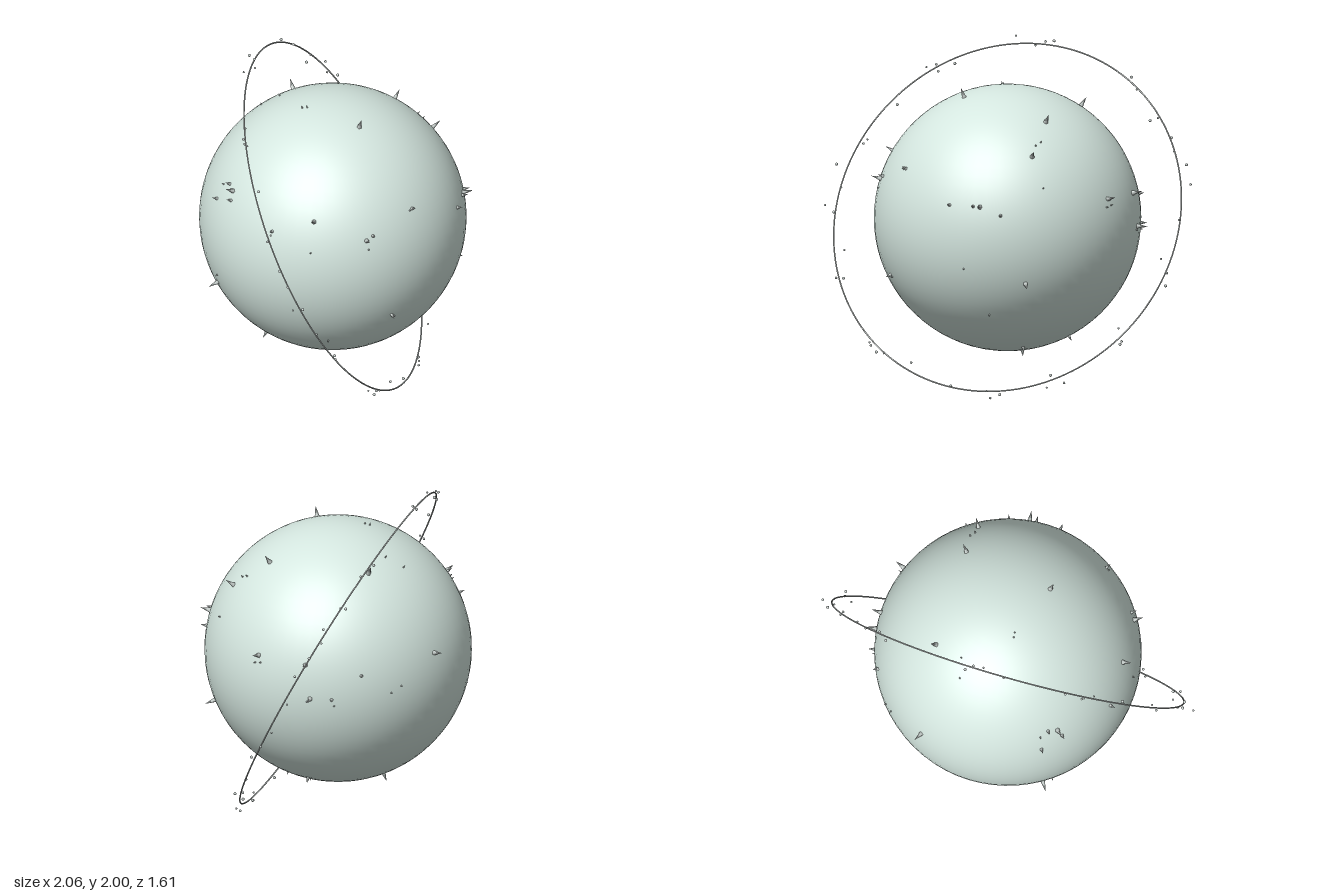
import * as THREE from 'three';

const CENTRE = new THREE.Vector3(0.018, 0.998, 0.012);
const GLOBE_R = 0.786, RING_R = 1.076;

// Outward directions of the surface spikes, grouped by size
const LARGE = [
  [-0.08, 0.74, 0.27], [0.47, 0.655, 0.10], [0.57, 0.47, 0.30], [-0.62, 0.365, 0.365],
  [-0.44, 0.25, 0.63], [0.47, 0.19, 0.63], [0.64, 0.18, -0.41], [0.64, -0.02, -0.45],
  [0.64, -0.285, 0.41], [-0.11, -0.73, -0.27], [-0.48, -0.84, -0.23], [-0.83, -0.356, -0.43],
  [-0.08, 0.22, -0.97], [0.2, 0.81, -0.55], [0.77, 0.195, -0.13], [-0.83, 0.48, -0.28],
];
const MEDIUM = [
  [0.57, 0.14, 0.55], [-0.39, 0.265, 0.63], [-0.11, 0.355, 0.70], [-0.27, -0.3, 0.67],
  [0.43, 0.19, 0.645], [0.3, 0.19, 0.72], [0.53, 0.155, -0.83], [0.355, -0.92, 0.154],
  [0.225, -0.97, 0.05], [0.48, -0.856, -0.19], [-0.79, 0.5, -0.34], [-0.87, 0.42, -0.27],
  [-0.825, 0.354, -0.44], [-0.92, 0.337, 0.176], [0.56, -0.02, -0.55],
];
const SMALL = [
  [0.545, 0.53, 0.25], [0.545, 0.545, 0.21], [-0.43, 0.19, 0.63], [-0.665, 0.18, 0.38],
  [-0.13, 0.35, 0.70], [-0.25, -0.31, 0.67], [0.67, 0.29, 0.30], [0.77, 0.145, -0.11],
  [0.77, 0.155, -0.15], [0.38, -0.19, 0.675], [0.4, -0.485, 0.49], [-0.49, -0.49, 0.37],
  [-0.2, 0.97, -0.13], [-0.18, 0.975, -0.1], [-0.02, 0.867, -0.5], [-0.11, 0.79, -0.6],
  [0.33, 0, -0.945], [0.25, 0.04, -0.965], [-0.78, 0.47, -0.41], [-0.884, -0.255, -0.388],
  [0.55, -0.06, -0.56], [0.66, -0.04, -0.44],
];

// Debris along the orbit: angle in degrees, distance from the centre
const DEBRIS = [
  [97, 1.125], [87, 1.09], [85, 1.11], [90, 1.06], [123.5, 1.095], [118, 1.05], [126.5, 1.1],
  [124, 1.055], [141, 1.03], [156, 1.04], [157.6, 1.06], [167, 1.14], [179.5, 1.15],
  [173.4, 1.075], [182, 1.08], [194.5, 1.02], [203.8, 1.09], [204.5, 1.05], [228, 1.095],
  [230, 1.1], [232, 1.105], [234.6, 1.08], [244.5, 1.03], [260, 1.065], [273, 1.08],
  [274, 1.115], [277, 1.095], [292.5, 1.12], [297.6, 1.115], [294.5, 1.05], [321.6, 1.03],
  [319.4, 1.095], [318.5, 1.12], [349, 1.01], [345, 1.085], [341, 1.12], [3, 1.06],
  [13.5, 1.14], [20.3, 1.125], [26, 1.07], [30, 1.09], [40, 1.015], [38.6, 1.065],
  [51, 1.07], [56, 1.1],
];

function material(name, color) {
  const m = new THREE.MeshStandardMaterial({ color });
  m.name = name;
  return m;
}

function named(name, geometry, mat) {
  const mesh = new THREE.Mesh(geometry, mat);
  mesh.name = name;
  return mesh;
}

// Cones standing on the globe, pointing outward
function spikes(name, directions, length, radius, mat) {
  const group = new THREE.Group();
  group.name = name;
  const cone = new THREE.ConeGeometry(radius, length, 6);
  const up = new THREE.Vector3(0, 1, 0);
  for (const d of directions) {
    const dir = new THREE.Vector3(...d).normalize();
    const spike = named('spike', cone, mat);
    spike.position.copy(dir).multiplyScalar(GLOBE_R + length / 2 - 0.006);
    spike.quaternion.setFromUnitVectors(up, dir);
    group.add(spike);
  }
  return group;
}

export function createModel() {
  const pale = material('pale grey green', 0xd4e6df);
  const silver = material('silver grey', 0xbcc2c0);
  const stone = material('stone grey', 0xc2cac7);

  const model = new THREE.Group();
  model.name = 'ringedGlobe';
  const body = new THREE.Group();
  body.name = 'body';
  body.position.copy(CENTRE);
  model.add(body);

  // Globe and its spikes
  body.add(named('globe', new THREE.SphereGeometry(GLOBE_R, 64, 40), pale));
  body.add(spikes('largeSpikes', LARGE, 0.068, 0.016, stone));
  body.add(spikes('mediumSpikes', MEDIUM, 0.042, 0.012, stone));
  body.add(spikes('smallSpikes', SMALL, 0.022, 0.007, stone));

  // Tilted orbit, lying in the local xy plane
  const orbit = new THREE.Group();
  orbit.name = 'orbit';
  const normal = new THREE.Vector3(0.425, 0.4535, 0.783).normalize();
  const right = new THREE.Vector3(0, 1, 0).cross(normal).normalize();
  const up = normal.clone().cross(right);
  orbit.setRotationFromMatrix(new THREE.Matrix4().makeBasis(right, up, normal));
  orbit.add(named('orbitRing', new THREE.TorusGeometry(RING_R, 0.0045, 8, 160), silver));

  // Debris scattered along the orbit
  const pebble = new THREE.IcosahedronGeometry(0.009, 1);
  DEBRIS.forEach(([deg, r], i) => {
    const a = THREE.MathUtils.degToRad(deg);
    const p = named('debris', pebble, stone);
    p.position.set(r * Math.cos(a), r * Math.sin(a), 0.02 * Math.sin(i * 2.4));
    p.scale.setScalar(0.7 + 0.15 * (i % 3));
    orbit.add(p);
  });
  body.add(orbit);

  return model;
}
